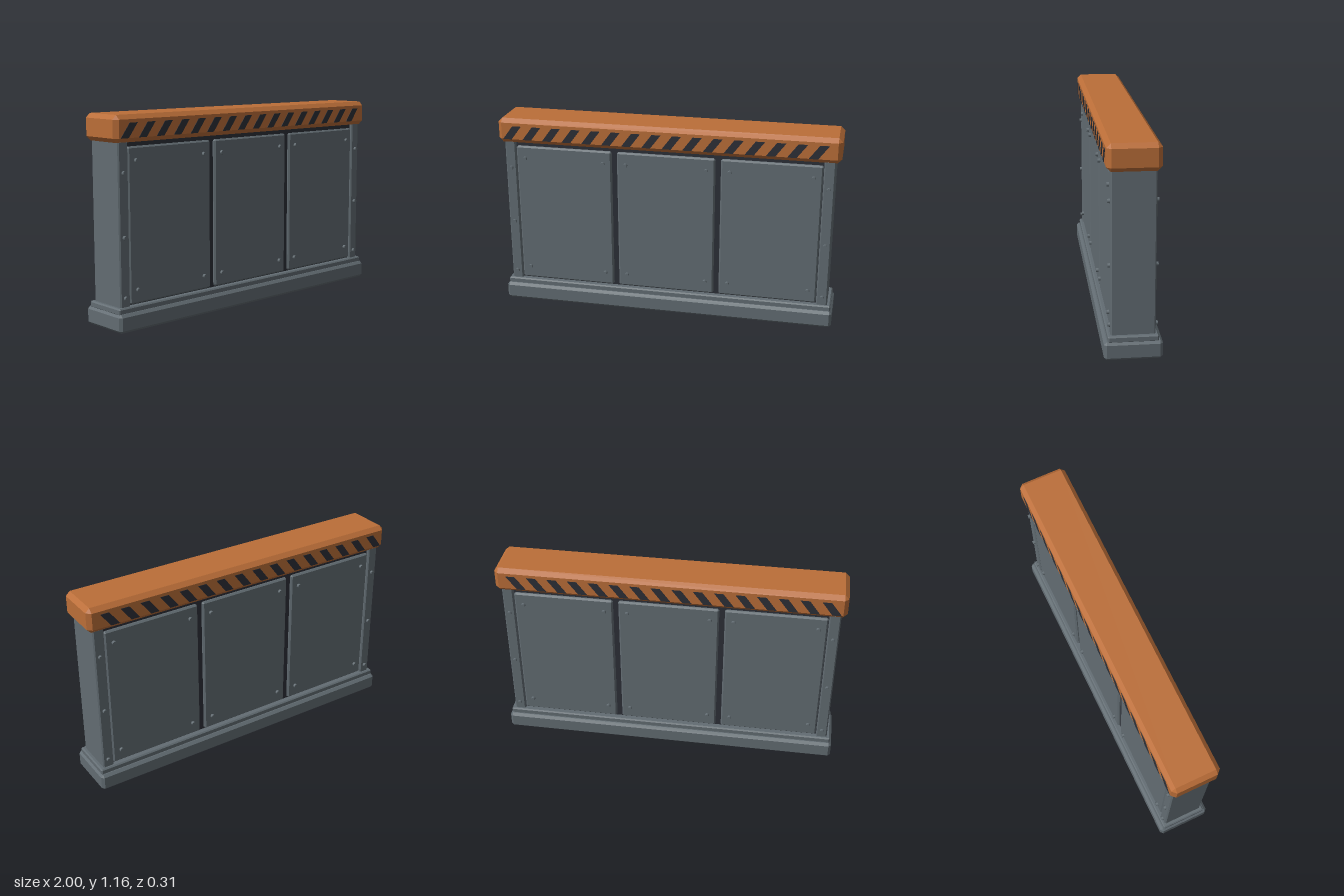
import * as THREE from 'three';
import { ConvexGeometry } from 'three/addons/geometries/ConvexGeometry.js';

const material = (name, color) => {
  const m = new THREE.MeshStandardMaterial({ color });
  m.name = name;
  return m;
};

// Box with every edge and corner cut by c
function chamferBox(w, h, d, c) {
  const points = [];
  for (const sx of [-1, 1]) for (const sy of [-1, 1]) for (const sz of [-1, 1]) {
    const x = w / 2, y = h / 2, z = d / 2;
    points.push(
      new THREE.Vector3(sx * x, sy * (y - c), sz * (z - c)),
      new THREE.Vector3(sx * (x - c), sy * y, sz * (z - c)),
      new THREE.Vector3(sx * (x - c), sy * (y - c), sz * z));
  }
  return new ConvexGeometry(points);
}

export function createModel() {
  const group = new THREE.Group();
  group.name = 'barrier';
  const grey = material('steel grey', 0x626c72);
  const orange = material('safety orange', 0xbb6e38);
  const dark = material('dark charcoal', 0x2c2f37);

  const add = (name, geometry, mat, x, y, z) => {
    const mesh = new THREE.Mesh(geometry, mat);
    mesh.name = name;
    mesh.position.set(x, y, z);
    group.add(mesh);
    return mesh;
  };
  // Block given by its bottom and top heights
  const block = (name, mat, x, y0, y1, z, w, d, c) =>
    add(name, chamferBox(w, y1 - y0, d, c), mat, x, (y0 + y1) / 2, z);

  // Stepped base, recessed core and cap
  block('base', grey, 0, 0, 0.102, 0, 2, 0.31, 0.015);
  block('plinth', grey, 0, 0.095, 0.132, 0, 1.98, 0.268, 0.007);
  add('core', new THREE.BoxGeometry(1.88, 0.92, 0.196), dark, 0, 0.57, 0);
  block('cap', orange, 0, 1.012, 1.158, 0, 2, 0.282, 0.024);

  // End posts
  for (const s of [-1, 1])
    block('endPost', grey, s * 0.9365, 0.12, 1.02, 0, 0.065, 0.237, 0.007);

  const rivet = new THREE.CylinderGeometry(0.011, 0.013, 0.02, 10);
  rivet.rotateX(Math.PI / 2);
  const addRivet = (x, y, z, side) => {
    const mesh = add('rivet', rivet, grey, x, y, side * z);
    if (side < 0) mesh.rotation.y = Math.PI;
  };

  // Slanted warning stripe
  const stripe = new THREE.ExtrudeGeometry(new THREE.Shape([
    new THREE.Vector2(-0.056, -0.04), new THREE.Vector2(-0.004, -0.04),
    new THREE.Vector2(0.056, 0.04), new THREE.Vector2(0.004, 0.04),
  ]), { depth: 0.004, bevelEnabled: false });
  stripe.translate(0, 0, -0.002);

  // Panels, rivets and stripes on both faces
  for (const side of [1, -1]) {
    for (const x of [-0.612, 0, 0.612]) {
      block('panel', grey, x, 0.137, 0.988, side * 0.1, 0.58, 0.028, 0.009);
      for (const dx of [-0.238, 0.238])
        for (const y of [0.213, 0.913]) addRivet(x + dx, y, 0.118, side);
    }
    for (const x of [-0.937, 0.937])
      for (const y of [0.18, 0.508, 0.852]) addRivet(x, y, 0.122, side);
    for (let i = 0; i < 16; i++)
      add('warningStripe', stripe, dark, -0.912 + i * 0.119, 1.076, side * 0.1412);
  }
  return group;
}
